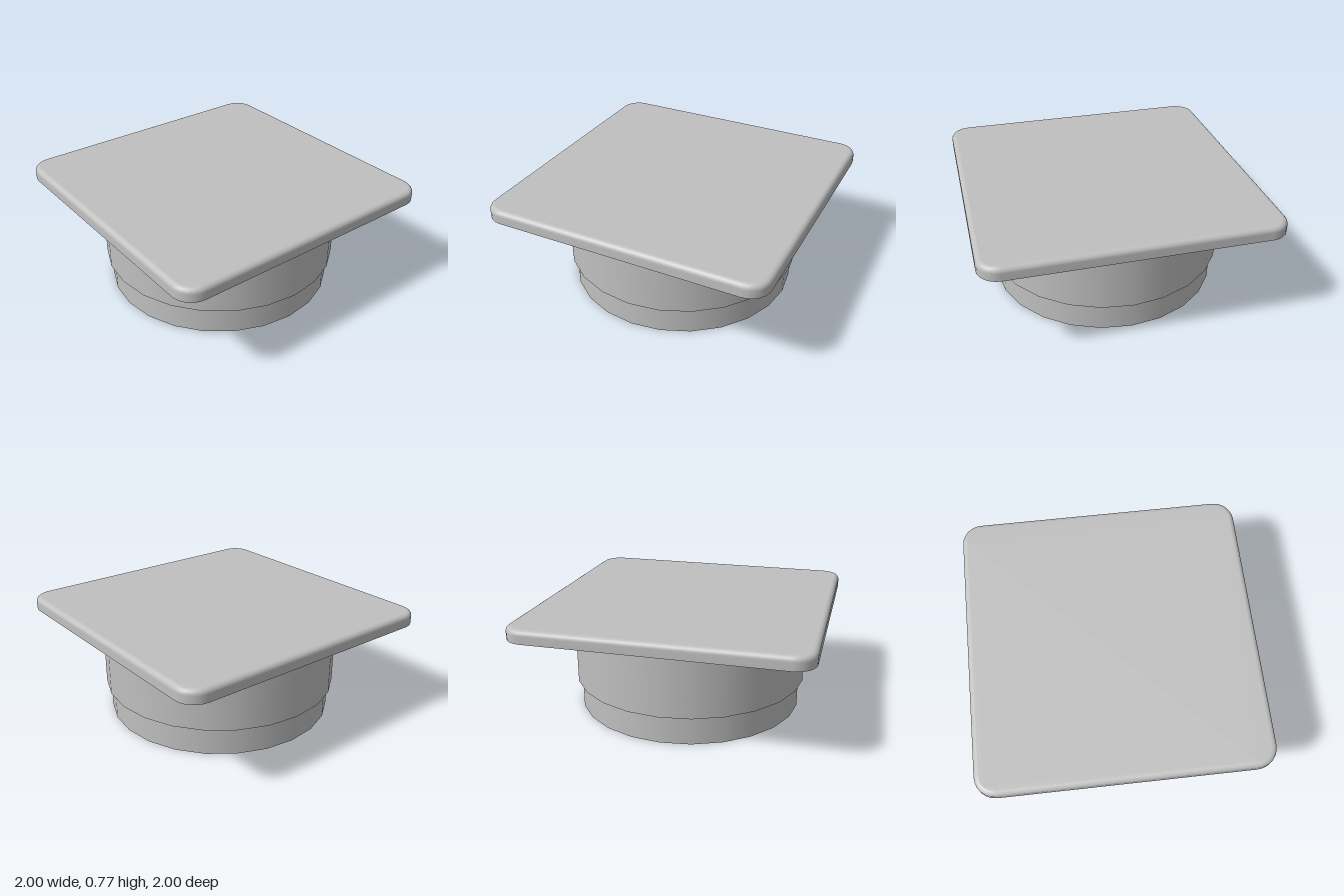
import * as THREE from 'three';

const PLATE_BOTTOM = 0.68, PLATE_TOP = 0.77, FILLET = 0.035, CORNER = 0.14;

// Outline of a rounded square, inset from the full 2 x 2 footprint
function outline(inset) {
  const r = CORNER - inset, c = 1 - CORNER, steps = 6, pts = [];
  for (let q = 0; q < 4; q++) {
    const mid = (q + 0.5) * Math.PI / 2;
    const cx = Math.sign(Math.cos(mid)) * c, cy = Math.sign(Math.sin(mid)) * c;
    for (let i = 0; i <= steps; i++) {
      const a = (q + i / steps) * Math.PI / 2;
      pts.push(new THREE.Vector2(cx + r * Math.cos(a), cy + r * Math.sin(a)));
    }
  }
  return pts;
}

// Skin through stacked outlines, smooth all round
function plateEdge() {
  const layers = [[0, PLATE_BOTTOM]];
  for (let i = 0; i <= 5; i++) {
    const a = i / 5 * Math.PI / 2;
    layers.push([FILLET * (1 - Math.cos(a)), PLATE_TOP - FILLET + FILLET * Math.sin(a)]);
  }
  const pos = [], index = [], n = outline(0).length;
  layers.forEach(([inset, y], k) => {
    for (const p of outline(inset)) pos.push(p.x, y, -p.y);
    if (k === 0) return;
    for (let i = 0; i < n; i++) {
      const j = (i + 1) % n, a = (k - 1) * n, b = k * n;
      index.push(a + i, a + j, b + j, a + i, b + j, b + i);
    }
  });
  const g = new THREE.BufferGeometry();
  g.setAttribute('position', new THREE.Float32BufferAttribute(pos, 3));
  g.setIndex(index);
  g.computeVertexNormals();
  return g;
}

export function createModel() {
  const model = new THREE.Group();
  const grey = new THREE.MeshStandardMaterial({ color: 0xc0c0c0 });
  grey.name = 'grey';
  const add = (name, geometry, parent = model) => {
    const mesh = new THREE.Mesh(geometry, grey);
    mesh.name = name;
    parent.add(mesh);
    return mesh;
  };

  // Square cover plate with a rounded upper rim and a flat underside
  const plate = new THREE.Group();
  plate.name = 'coverPlate';
  model.add(plate);
  add('plateEdge', plateEdge(), plate);
  const face = (inset) => new THREE.ShapeGeometry(new THREE.Shape(outline(inset)));
  add('plateTop', face(FILLET).rotateX(-Math.PI / 2).translate(0, PLATE_TOP, 0), plate);
  add('plateUnderside', face(0).rotateX(Math.PI / 2).translate(0, PLATE_BOTTOM, 0), plate);

  // Hollow stepped collar: each profile span is its own lathe, so the steps stay sharp
  const collar = new THREE.Group();
  collar.name = 'collar';
  model.add(collar);
  const spans = {
    lowerRim: [[0.8, 0], [0.805, 0]],
    lowerSleeve: [[0.805, 0], [0.805, 0.2]],
    step: [[0.805, 0.2], [0.837, 0.2]],
    upperSleeve: [[0.837, 0.2], [0.837, PLATE_BOTTOM]],
    innerWall: [[0.8, PLATE_BOTTOM], [0.8, 0]],
  };
  for (const [name, pts] of Object.entries(spans)) {
    add(name, new THREE.LatheGeometry(pts.map(([r, y]) => new THREE.Vector2(r, y)), 24), collar);
  }
  return model;
}
